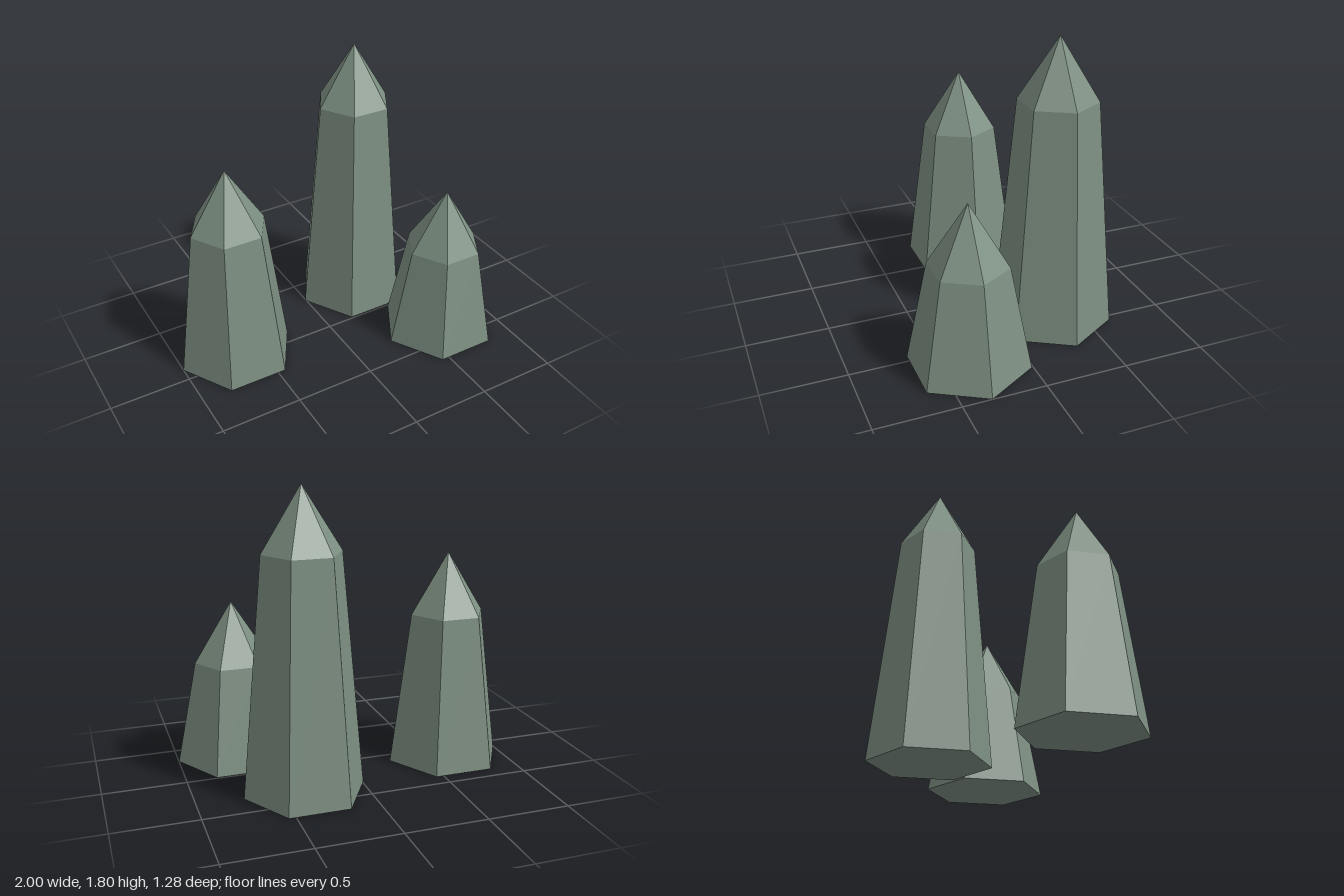
import * as THREE from 'three';

const SIDES = 6;
const BASE_RADIUS = 0.365;
const SHOULDER_RADIUS = 0.236;
const TIP_HEIGHT = 0.377;

// position on the ground and height of the shoulder where the tip begins
const CRYSTALS = [
  { name: 'mediumCrystal', x: -0.635, z: -0.092, shoulder: 0.948 },
  { name: 'tallCrystal', x: 0.359, z: -0.327, shoulder: 1.422 },
  { name: 'shortCrystal', x: 0.634, z: 0.325, shoulder: 0.64 },
];

export function createModel() {
  const stone = new THREE.MeshStandardMaterial({ color: 0x7d8f82, flatShading: true });
  stone.name = 'greyGreenStone';

  const model = new THREE.Group();
  model.name = 'crystalCluster';

  for (const { name, x, z, shoulder } of CRYSTALS) {
    const crystal = new THREE.Group();
    crystal.name = name;
    crystal.position.set(x, 0, z);

    // tapering hexagonal shaft, corners pointing along x, closed underneath
    const shaft = new THREE.Mesh(facet(new THREE.CylinderGeometry(
      SHOULDER_RADIUS, BASE_RADIUS, shoulder, SIDES, 1, false, Math.PI / 6)), stone);
    shaft.name = 'shaft';
    shaft.position.y = shoulder / 2;

    // pointed tip continuing the same six sides
    const tip = new THREE.Mesh(facet(new THREE.ConeGeometry(
      SHOULDER_RADIUS, TIP_HEIGHT, SIDES, 1, true, Math.PI / 6)), stone);
    tip.name = 'tip';
    tip.position.y = shoulder + TIP_HEIGHT / 2;

    crystal.add(shaft, tip);
    model.add(crystal);
  }
  return model;
}

// give every face its own flat normal
function facet(geometry) {
  const flat = geometry.toNonIndexed();
  flat.computeVertexNormals();
  return flat;
}
